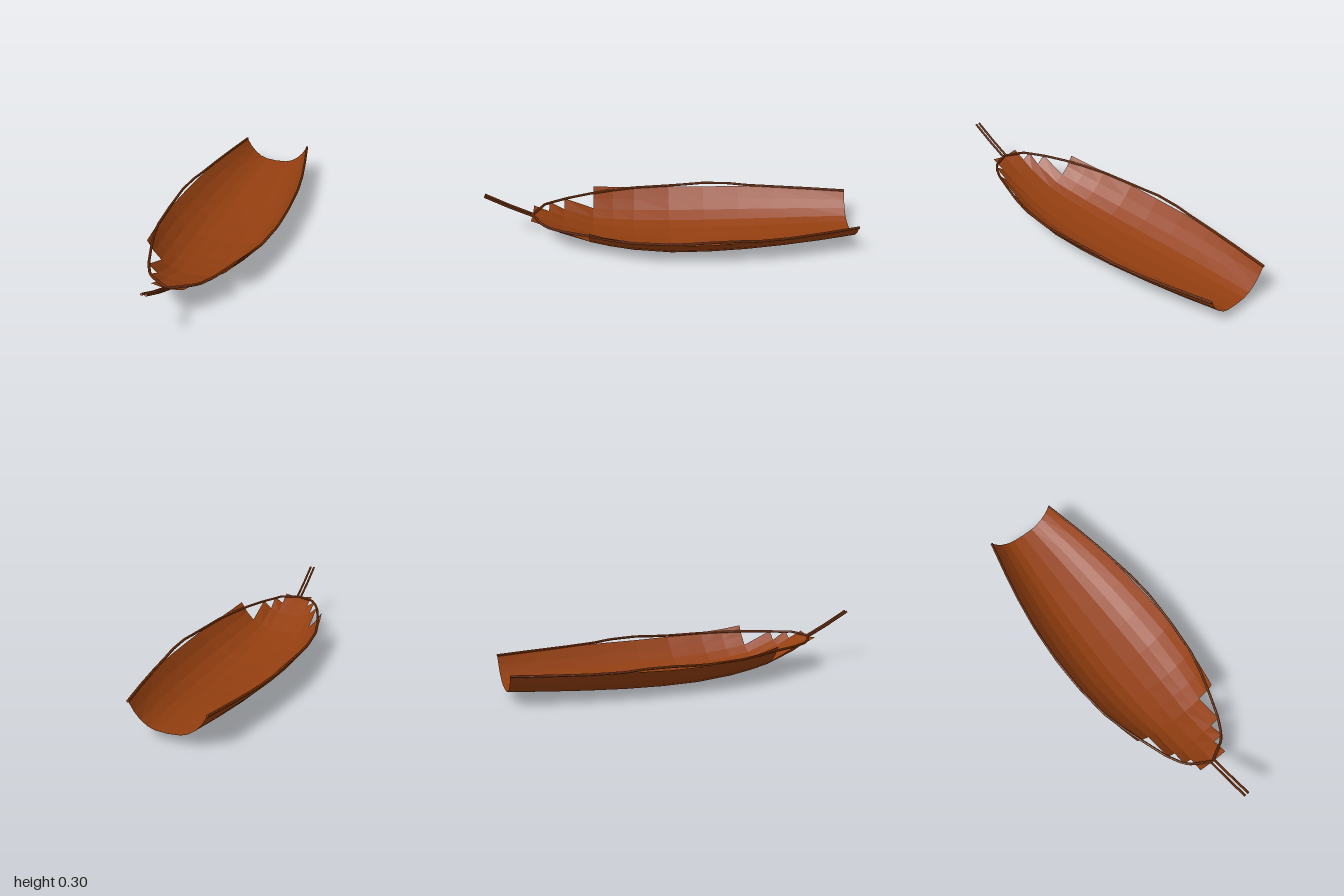
import * as THREE from 'three';

// Hull stations from stern to bow: [z, keel height, width scale, height scale]
const STATIONS = [
  [-1, 0.052, 0.635, 0.84], [-0.8, 0.036, 0.77, 0.89], [-0.6, 0.021, 0.875, 0.95],
  [-0.4, 0.009, 0.95, 0.99], [-0.2, 0.002, 0.99, 1], [0, 0.002, 1, 1],
  [0.2, 0.014, 0.94, 1], [0.32, 0.029, 0.875, 0.99], [0.43, 0.048, 0.8, 0.99],
  [0.59, 0.1, 0.78, 1.35], [0.67, 0.132, 0.8, 2.1], [0.75, 0.163, 0.83, 3],
];
// Half cross-section amidships, from keel to edge
const SECTION = [[0, 0], [0.1, 0.005], [0.16, 0.02], [0.22, 0.052], [0.27, 0.095], [0.316, 0.153]];
// Last station of each plank; the outer planks stop earlier, leaving a stepped bow
const PLANK_END = [11, 10, 9, 8, 8];

function hullPoint(station, k, side) {
  const [z, keel, w, h] = STATIONS[station];
  return [side * SECTION[k][0] * w, keel + SECTION[k][1] * h, z];
}

function plankGeometry(k, side) {
  const pos = [];
  for (let i = 0; i < PLANK_END[k]; i++) {
    const a = hullPoint(i, k, side), b = hullPoint(i, k + 1, side);
    const c = hullPoint(i + 1, k + 1, side), d = hullPoint(i + 1, k, side);
    pos.push(...(side > 0 ? [a, b, c, a, c, d] : [a, c, b, a, d, c]).flat());
  }
  const g = new THREE.BufferGeometry();
  g.setAttribute('position', new THREE.Float32BufferAttribute(pos, 3));
  g.computeVertexNormals();
  return g;
}

// Rod made of straight runs between the given points
function rod(name, points, radius, material) {
  const path = new THREE.CurvePath();
  const pts = points.map((p) => new THREE.Vector3(...p));
  for (let i = 1; i < pts.length; i++) path.add(new THREE.LineCurve3(pts[i - 1], pts[i]));
  const group = new THREE.Group();
  group.name = name;
  const tube = new THREE.Mesh(new THREE.TubeGeometry(path, 64, radius, 8), material);
  tube.name = name + 'Tube';
  group.add(tube);
  // Closed ends
  [[pts[0], pts[1]], [pts.at(-1), pts.at(-2)]].forEach(([end, inner]) => {
    const cap = new THREE.Mesh(new THREE.CircleGeometry(radius, 8), material);
    cap.name = name + 'Cap';
    cap.position.copy(end);
    cap.lookAt(end.clone().multiplyScalar(2).sub(inner));
    group.add(cap);
  });
  return group;
}

export function createModel() {
  const model = new THREE.Group();
  model.name = 'boat';
  const wood = new THREE.MeshStandardMaterial({ color: 0x943f10, side: THREE.DoubleSide, flatShading: true });
  wood.name = 'brown wood';

  const hull = new THREE.Group();
  hull.name = 'hull';
  model.add(hull);

  for (const side of [1, -1]) {
    const label = side > 0 ? 'left' : 'right';
    for (let k = 0; k < PLANK_END.length; k++) {
      const plank = new THREE.Mesh(plankGeometry(k, side), wood);
      plank.name = `${label}Plank${k + 1}`;
      hull.add(plank);
    }

    // Gunwale rail around the edge, meeting at the bow
    const rail = [
      [0, 0.17, 0.75], [0.1, 0.174, 0.695], [0.132, 0.168, 0.66], [0.175, 0.168, 0.58],
      [0.222, 0.17, 0.45], [0.262, 0.167, 0.33], [0.295, 0.164, 0.2], [0.315, 0.163, 0],
      [0.318, 0.168, -0.1], [0.32, 0.175, -0.2], [0.311, 0.175, -0.35], [0.301, 0.167, -0.45],
      [0.277, 0.167, -0.62], [0.243, 0.172, -0.8], [0.2, 0.178, -1],
    ];
    model.add(rod(label + 'Rail', rail.map(([x, y, z]) => [side * x, y, z]), 0.007, wood));

    // One of the paired bowsprit rods
    const sprit = [[0.011, 0.168, 0.75], [0.011, 0.225, 0.87], [0.011, 0.293, 0.997]];
    model.add(rod(label + 'Bowsprit', sprit.map(([x, y, z]) => [side * x, y, z]), 0.0065, wood));
  }
  return model;
}
